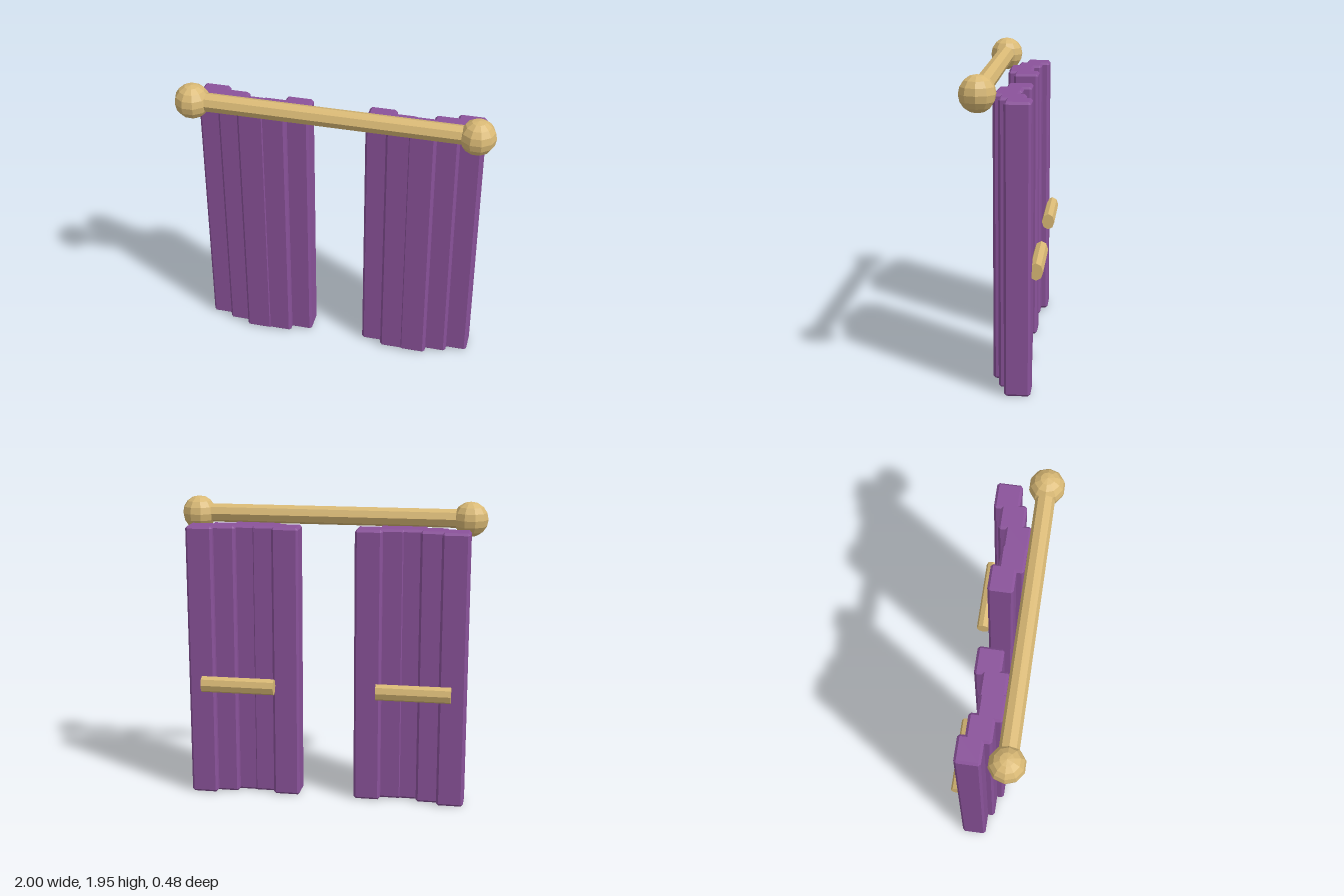
import * as THREE from 'three';
import { ConvexGeometry } from 'three/addons/geometries/ConvexGeometry.js';

const purple = new THREE.MeshStandardMaterial({ color: 0x8a529a });
purple.name = 'purple cloth';
const gold = new THREE.MeshStandardMaterial({ color: 0xd9b975 });
gold.name = 'golden wood';

// Box with every edge chamfered, as the hull of its 24 corners
function chamferBox(w, h, d, c) {
  const points = [];
  for (const sx of [-1, 1]) for (const sy of [-1, 1]) for (const sz of [-1, 1])
    for (let inner = 0; inner < 3; inner++) {
      const inset = [c, c, c];
      inset[inner] = 0;
      points.push(new THREE.Vector3(
        sx * (w / 2 - inset[0]), sy * (h / 2 - inset[1]), sz * (d / 2 - inset[2])));
    }
  return new ConvexGeometry(points);
}

// Eight-sided bar along x
function bar(radius, length) {
  return new THREE.CylinderGeometry(radius, radius, length, 8)
    .toNonIndexed().rotateZ(Math.PI / 2);
}

function addMesh(parent, name, geometry, material, x, y, z) {
  geometry.computeVertexNormals();
  const mesh = new THREE.Mesh(geometry, material);
  mesh.name = name;
  mesh.position.set(x, y, z);
  parent.add(mesh);
  return mesh;
}

export function createModel() {
  const model = new THREE.Group();
  model.name = 'curtains';

  // Rod with a ball at each end
  addMesh(model, 'rod', bar(0.06, 1.7), gold, 0, 1.84, 0.131);

  // Back faces of the five folds, from the middle outwards
  const foldBacks = [-0.14, -0.093, -0.087, -0.133, -0.178];
  const height = 1.795, depth = 0.16;

  for (const side of [-1, 1]) {
    const label = side > 0 ? 'left' : 'right';
    addMesh(model, label + 'RodBall', new THREE.SphereGeometry(0.112, 10, 8).toNonIndexed(),
      gold, side * 0.888, 1.838, 0.131);

    // Curtain of overlapping folds
    const curtain = new THREE.Group();
    curtain.name = label + 'Curtain';
    foldBacks.forEach((back, i) => {
      addMesh(curtain, 'fold' + (i + 1), chamferBox(0.175, height, depth, 0.015), purple,
        side * (0.268 + i * 0.1375), height / 2, back + depth / 2);
    });
    model.add(curtain);

    // Tie bar behind the curtain, taller than it is deep
    addMesh(model, label + 'TieBar', bar(0.043, 0.48).scale(1, 1.25, 1), gold,
      side * 0.572, 0.762, -0.203);
  }
  return model;
}
